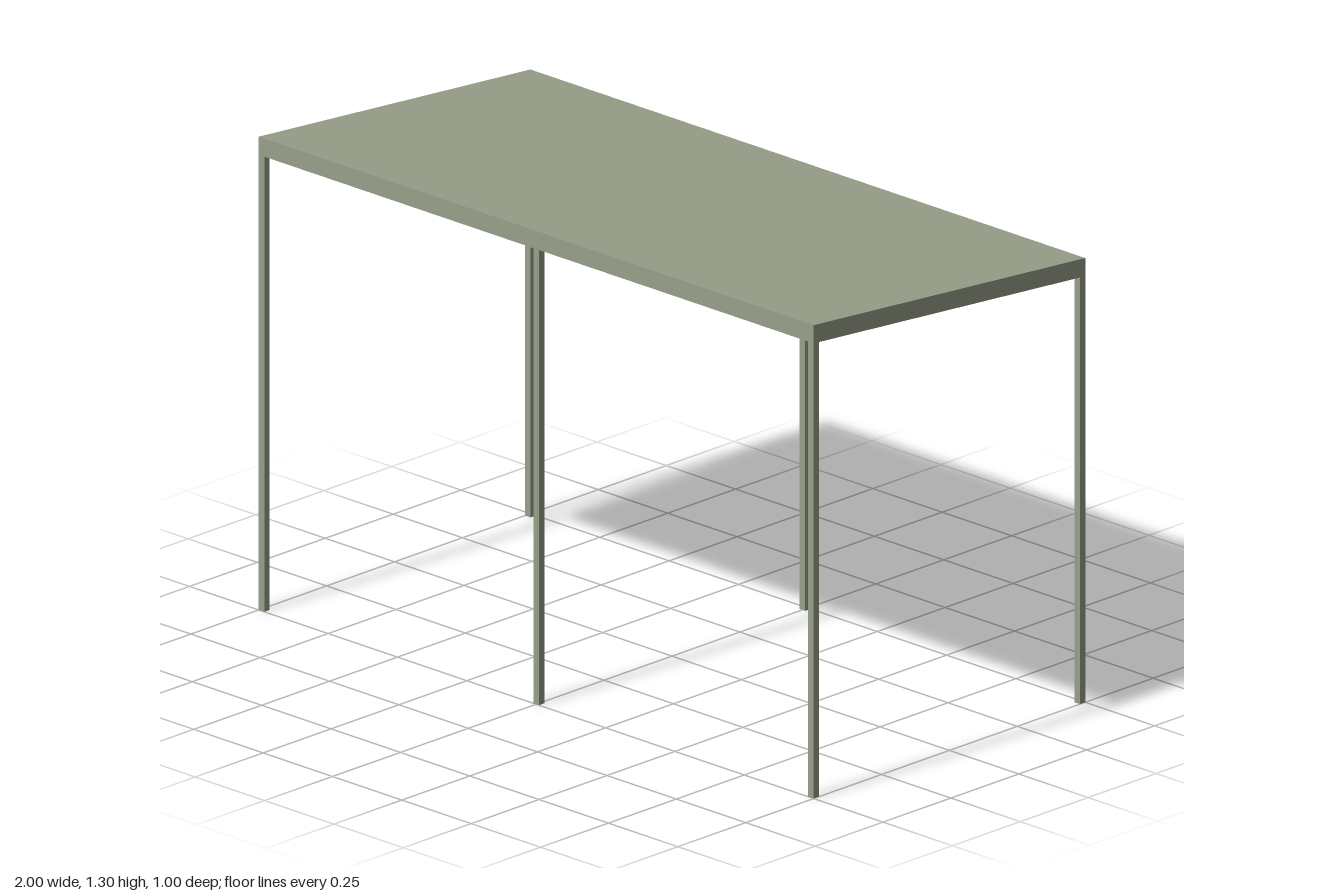
import * as THREE from 'three';

const SLOPE = 0.08;    // roof rise per unit of z
const TOP = 1.26;      // roof height at z = 0
const FRAME = 0.05;    // frame depth
const SHEET = 0.005;   // roof sheet thickness
const W = 0.02;        // post and beam width

export function createModel() {
  const model = new THREE.Group();
  model.name = 'canopy';
  const paint = new THREE.MeshStandardMaterial({ color: 0x98a18b });
  paint.name = 'sage green paint';

  // Box between two corners, its top (and optionally bottom) following the roof pitch
  function pitchedBox(name, x0, x1, z0, z1, y0, y1, slopeBottom) {
    const geo = new THREE.BoxGeometry(x1 - x0, y1 - y0, z1 - z0);
    geo.translate((x0 + x1) / 2, (y0 + y1) / 2, (z0 + z1) / 2);
    const pos = geo.attributes.position;
    const mid = (y0 + y1) / 2;
    for (let i = 0; i < pos.count; i++) {
      if (slopeBottom || pos.getY(i) > mid) pos.setY(i, pos.getY(i) + SLOPE * pos.getZ(i));
    }
    geo.computeVertexNormals();
    const mesh = new THREE.Mesh(geo, paint);
    mesh.name = name;
    model.add(mesh);
  }

  // Thin roof sheet
  pitchedBox('roofSheet', -1, 1, -0.5, 0.5, TOP - SHEET, TOP, true);

  // Perimeter frame below the sheet
  const low = TOP - FRAME, high = TOP - SHEET;
  pitchedBox('frontBeam', -1, 1, 0.5 - W, 0.5, low, high, true);
  pitchedBox('backBeam', -1, 1, -0.5, -0.5 + W, low, high, true);
  pitchedBox('leftBeam', 1 - W, 1, -0.5 + W, 0.5 - W, low, high, true);
  pitchedBox('rightBeam', -1, -1 + W, -0.5 + W, 0.5 - W, low, high, true);

  // Six posts, three along each long side
  for (const [side, x] of [['Right', -1 + W / 2], ['Middle', 0], ['Left', 1 - W / 2]]) {
    for (const [end, z] of [['front', 0.5 - W / 2], ['back', -0.5 + W / 2]]) {
      pitchedBox(end + side + 'Post', x - W / 2, x + W / 2, z - W / 2, z + W / 2, 0, low, false);
    }
  }
  return model;
}
